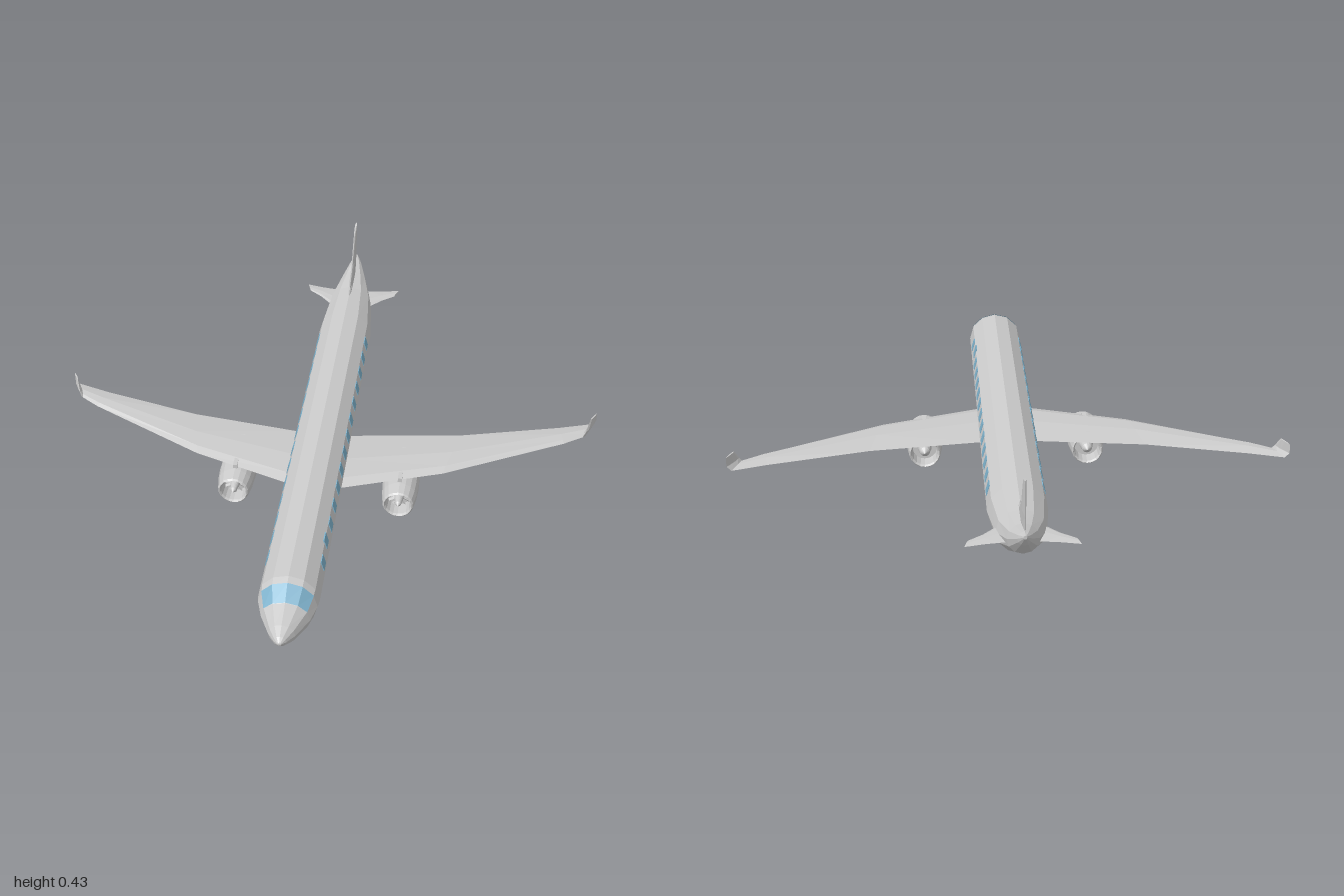
import * as THREE from 'three';

const V = (x, y, z) => new THREE.Vector3(x, y, z);
const grey = new THREE.MeshStandardMaterial({ color: 0xcccccc, flatShading: true, side: THREE.DoubleSide });
const blue = new THREE.MeshStandardMaterial({ color: 0x7fb2cc, flatShading: true, side: THREE.DoubleSide });

function add(parent, name, geometry, material = grey) {
  const mesh = new THREE.Mesh(geometry, material);
  mesh.name = name;
  parent.add(mesh);
  return mesh;
}

// Skin a row of equal-sized rings; closed rings also get end caps
function loft(rings, { closed = true, flip = false } = {}) {
  const n = rings[0].length, index = [];
  const tri = (a, b, c) => index.push(a, ...(flip ? [c, b] : [b, c]));
  for (let i = 0; i < rings.length - 1; i++) {
    for (let j = 0; j < (closed ? n : n - 1); j++) {
      const k = (j + 1) % n, p = i * n, q = p + n;
      tri(p + j, q + j, p + k);
      tri(q + j, q + k, p + k);
    }
  }
  if (closed) {
    const e = (rings.length - 1) * n;
    for (let j = 1; j < n - 1; j++) {
      tri(0, j, j + 1);
      tri(e, e + j + 1, e + j);
    }
  }
  const g = new THREE.BufferGeometry().setFromPoints(rings.flat());
  g.setIndex(index);
  const flat = g.toNonIndexed();
  flat.computeVertexNormals();
  return flat;
}

// Twelve-sided body section: [z, bottom, top, half width]
function bodyRing([z, bottom, top, w], from = 0, to = 11, grow = 0) {
  const ring = [];
  for (let j = from; j <= to; j++) {
    const a = (j * Math.PI) / 6;
    ring.push(V((w + grow) * Math.cos(a), (top + bottom) / 2 + ((top - bottom) / 2 + grow) * Math.sin(a), z));
  }
  return ring;
}

// Thin six-point foil between a leading and a trailing point; n is its half thickness
function foil(le, te, n, s = 1) {
  const at = (t, k) => {
    const p = V(...le).lerp(V(...te), t).addScaledVector(V(...n), k);
    p.x *= s;
    return p;
  };
  return [at(0, 0), at(0.15, 0.8), at(0.5, 1), at(1, 0.15), at(0.6, -0.8), at(0.15, -0.7)];
}

function engine(s) {
  const g = new THREE.Group();
  g.name = s > 0 ? 'leftEngine' : 'rightEngine';
  g.position.set(0.28 * s, 0.063, 0);
  const turned = (name, profile) =>
    add(g, name, new THREE.LatheGeometry(profile.map(([r, z]) => new THREE.Vector2(r, z)), 18).rotateX(Math.PI / 2));
  // Hollow shell with thick lips at both ends
  turned('nacelle', [[0.04, 0.15], [0.043, 0.2], [0.047, 0.208], [0.052, 0.203], [0.059, 0.16], [0.062, 0.11],
    [0.061, 0.06], [0.054, 0.0], [0.05, -0.006], [0.045, 0], [0.042, 0.05], [0.04, 0.15]]);
  turned('spinner', [[0, 0.213], [0.01, 0.2], [0.016, 0.165], [0.016, 0.15]]);
  turned('fanDisc', [[0, 0.152], [0.042, 0.15]]);
  turned('exhaustCone', [[0.024, 0.045], [0.017, 0.01], [0, -0.008]]);
  turned('exhaustDisc', [[0, 0.046], [0.044, 0.045]]);
  for (let i = 0; i < 12; i++) {
    const blade = add(g, 'fanBlade', new THREE.BoxGeometry(0.028, 0.008, 0.002).rotateX(0.6).translate(0.028, 0, 0));
    blade.position.z = 0.157;
    blade.rotation.z = (i * Math.PI) / 6;
  }
  const pylon = add(g, 'pylon', new THREE.BoxGeometry(0.014, 0.022, 0.17));
  pylon.position.set(0, 0.062, 0.07);
  return g;
}

export function createModel() {
  const model = new THREE.Group();
  model.name = 'airliner';

  // Fuselage, nose to tail
  const shieldFront = [0.875, 0.087, 0.213, 0.076], shieldBack = [0.825, 0.075, 0.248, 0.092];
  const stations = [
    [1, 0.157, 0.167, 0.006], [0.985, 0.14, 0.179, 0.02], [0.95, 0.115, 0.193, 0.042],
    shieldFront, shieldBack, [0.8, 0.07, 0.255, 0.095],
    [-0.63, 0.07, 0.255, 0.095], [-0.8, 0.108, 0.255, 0.078], [-0.9, 0.16, 0.262, 0.049],
    [-0.97, 0.225, 0.272, 0.022], [-1, 0.262, 0.274, 0.005],
  ];
  add(model, 'fuselage', loft(stations.map((st) => bodyRing(st))));

  // Windshield lies on the sloping panels above the nose
  add(model, 'windshield', loft([shieldFront, shieldBack].map((st) => bodyRing(st, 1, 5, 0.0015)), { closed: false }), blue);

  // Cabin windows on both sides
  for (const s of [1, -1]) {
    for (let i = 0; i < 14; i++) {
      const w = add(model, 'cabinWindow', new THREE.BoxGeometry(0.004, 0.036, 0.04), blue);
      const raised = s > 0 && i === 1 ? 0.01 : 0;
      w.position.set(s * (0.0872 - raised * 0.3), 0.192 + raised, 0.66 - i * 0.0915);
      w.rotation.z = s * Math.PI / 12;
    }
  }

  for (const s of [1, -1]) {
    const side = s > 0 ? 'left' : 'right';
    const flip = s < 0;
    // Swept wing, turning up into the winglet
    add(model, side + 'Wing', loft([
      foil([0, 0.127, 0.245], [0, 0.127, -0.05], [0, 0.013, 0], s),
      foil([0.09, 0.127, 0.217], [0.09, 0.127, -0.063], [0, 0.013, 0], s),
      foil([0.42, 0.128, 0.1], [0.465, 0.128, -0.113], [0, 0.011, 0], s),
      foil([0.82, 0.128, -0.115], [0.8, 0.128, -0.2], [0, 0.009, 0], s),
      foil([0.885, 0.128, -0.16], [0.915, 0.128, -0.237], [-0.004, 0.007, 0], s),
      foil([0.895, 0.145, -0.17], [0.93, 0.145, -0.24], [-0.005, 0, 0], s),
      foil([0.907, 0.18, -0.195], [0.93, 0.177, -0.24], [-0.003, 0, 0], s),
    ], { flip }));
    // Tailplane
    add(model, side + 'Tailplane', loft([
      foil([0.02, 0.187, -0.75], [0.02, 0.187, -0.875], [0, 0.005, 0], s),
      foil([0.065, 0.187, -0.77], [0.065, 0.187, -0.88], [0, 0.005, 0], s),
      foil([0.115, 0.187, -0.825], [0.115, 0.187, -0.887], [0, 0.004, 0], s),
      foil([0.16, 0.187, -0.86], [0.173, 0.187, -0.9], [0, 0.003, 0], s),
    ], { flip }));
    model.add(engine(s));
  }

  // Tail fin with a low fillet at its front
  add(model, 'tailFin', loft([
    foil([0, 0.245, -0.7], [0, 0.245, -0.98], [-0.008, 0, 0]),
    foil([0, 0.264, -0.775], [0, 0.272, -0.985], [-0.008, 0, 0]),
    foil([0, 0.318, -0.855], [0, 0.32, -0.982], [-0.007, 0, 0]),
    foil([0, 0.415, -0.922], [0, 0.425, -0.977], [-0.005, 0, 0]),
    foil([0, 0.428, -0.94], [0, 0.435, -0.975], [-0.004, 0, 0]),
  ]));
  return model;
}
